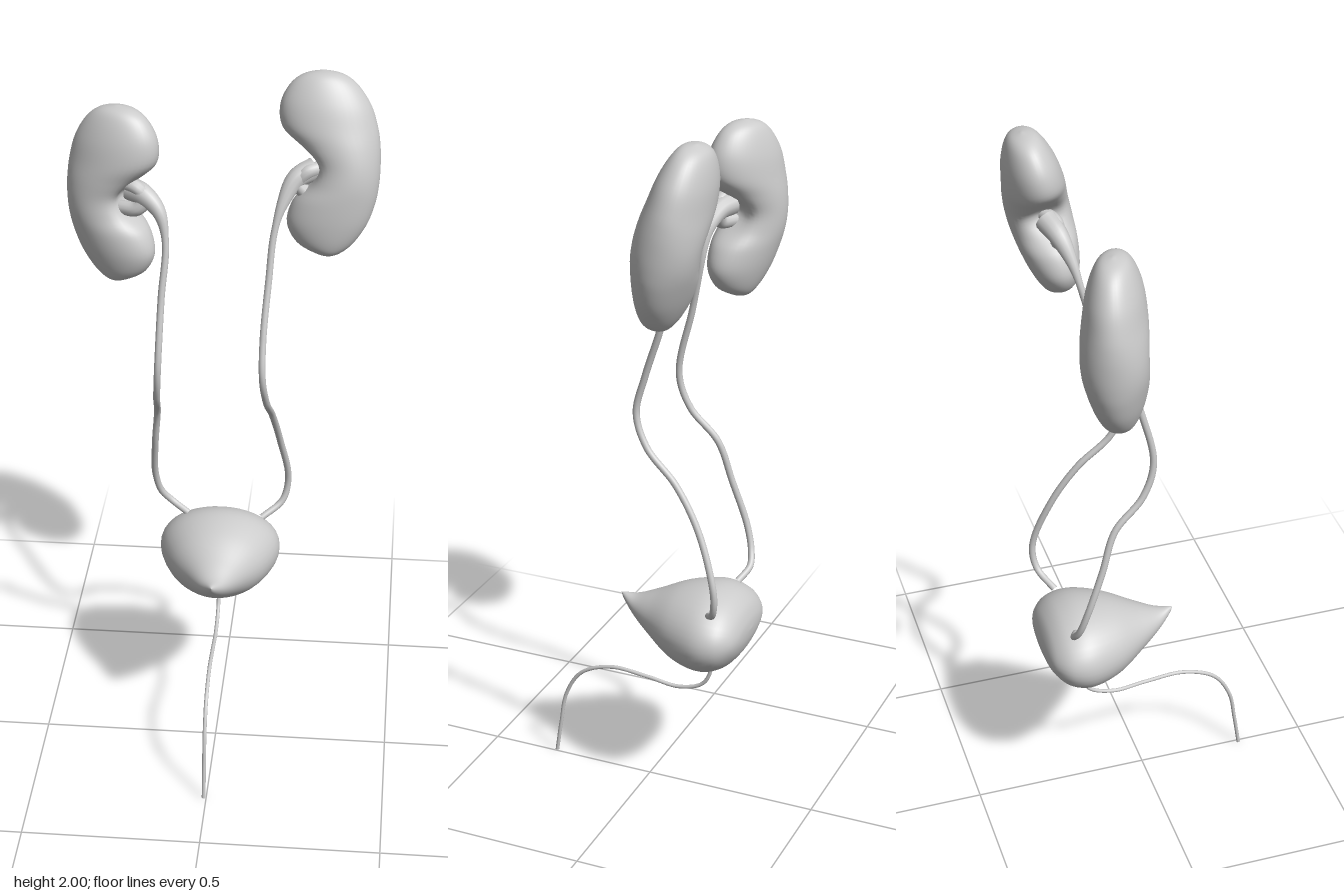
import * as THREE from 'three';
import { mergeVertices } from 'three/addons/utils/BufferGeometryUtils.js';

const material = new THREE.MeshStandardMaterial({ color: 0xcccccc, roughness: 0.6 });
const v = (x, y, z) => new THREE.Vector3(x, y, z);

// Smooth loft: rows of section values are splined, point(values, angle) places each vertex.
function loft(rows, point, rings = 60, sides = 40) {
  const columns = rows[0].map((_, k) =>
    new THREE.SplineCurve(rows.map((row, i) => new THREE.Vector2(i, row[k]))));
  const positions = [];
  const index = [];
  for (let i = 0; i <= rings; i++) {
    const values = columns.map((c) => c.getPoint(i / rings).y);
    for (let j = 0; j < sides; j++) {
      positions.push(...point(values, (j / sides) * Math.PI * 2));
      if (i === rings) continue;
      const a = i * sides + j;
      const b = i * sides + ((j + 1) % sides);
      index.push(a, b, a + sides, b, b + sides, a + sides);
    }
  }
  const geometry = new THREE.BufferGeometry();
  geometry.setAttribute('position', new THREE.Float32BufferAttribute(positions, 3));
  geometry.setIndex(index);
  const merged = mergeVertices(geometry, 1e-5);
  merged.computeVertexNormals();
  return merged;
}

// Tube whose radius follows radius(t) along the path.
function taperedTube(points, radius, segments = 160) {
  const path = new THREE.CatmullRomCurve3(points);
  const geometry = new THREE.TubeGeometry(path, segments, 1, 12);
  const { position, normal, uv } = geometry.attributes;
  for (let i = 0; i < position.count; i++) {
    const t = uv.getX(i);
    const p = v().fromBufferAttribute(normal, i).multiplyScalar(radius(t)).add(path.getPointAt(t));
    position.setXYZ(i, p.x, p.y, p.z);
  }
  return geometry;
}

// Bean shape: [y, medial x, lateral x, half thickness], top to bottom.
const kidneyRows = [
  [0.25, -0.02, -0.02, 0], [0.24, -0.07, 0.03, 0.032], [0.212, -0.108, 0.07, 0.052],
  [0.16, -0.133, 0.106, 0.07], [0.1, -0.128, 0.126, 0.08], [0.05, -0.085, 0.134, 0.085],
  [0, -0.052, 0.136, 0.086], [-0.05, -0.06, 0.134, 0.085], [-0.1, -0.095, 0.126, 0.08],
  [-0.16, -0.108, 0.105, 0.068], [-0.212, -0.08, 0.07, 0.05], [-0.24, -0.03, 0.035, 0.03],
  [-0.25, 0.005, 0.005, 0],
];

function kidneyGeometry() {
  return loft(kidneyRows, ([y, medial, lateral, depth], a) => {
    // dent on the inner side where the vessels enter
    const dent = 0.035 * Math.exp(-((y / 0.05) ** 2)) * Math.max(0, -Math.cos(a)) ** 6;
    const x = (medial + lateral) / 2 + ((lateral - medial) / 2) * Math.cos(a) + dent;
    return [x, y, depth * Math.sin(a)];
  });
}

// Bladder: [z, bottom y, top y, half width], pointed front to flattened back.
const bladderRows = [
  [0.09, 0.572, 0.572, 0], [0.078, 0.55, 0.574, 0.011], [0.04, 0.512, 0.576, 0.04],
  [-0.016, 0.47, 0.598, 0.08], [-0.1, 0.42, 0.635, 0.138], [-0.185, 0.405, 0.651, 0.172],
  [-0.245, 0.425, 0.638, 0.168], [-0.283, 0.465, 0.608, 0.137], [-0.301, 0.505, 0.572, 0.09],
  [-0.306, 0.54, 0.54, 0],
];

export function createModel() {
  const model = new THREE.Group();
  const add = (name, geometry, parent = model) => {
    const mesh = new THREE.Mesh(geometry, material);
    mesh.name = name;
    parent.add(mesh);
    return mesh;
  };

  // Kidneys: the right one is turned about, lower and angled
  const kidney = kidneyGeometry();
  const leftKidney = add('leftKidney', kidney);
  leftKidney.position.set(0.285, 1.75, -0.19);
  leftKidney.rotation.set(-0.2, 0, 0);
  const rightKidney = add('rightKidney', kidney);
  rightKidney.position.set(-0.283, 1.66, -0.155);
  rightKidney.rotation.set(-0.03, Math.PI - 0.4, -0.04);

  // Ureters, each starting as the wide funnel of the renal pelvis
  const funnel = (t) => 0.0095 + 0.022 * (1 - THREE.MathUtils.smoothstep(t, 0, 0.16));
  add('leftUreter', taperedTube([
    v(0.25, 1.74, -0.185), v(0.2, 1.715, -0.165), v(0.165, 1.65, -0.14), v(0.145, 1.57, -0.12),
    v(0.135, 1.45, -0.09), v(0.125, 1.3, -0.04), v(0.126, 1.19, -0.015), v(0.135, 1.1, -0.05),
    v(0.147, 1.01, -0.14), v(0.165, 0.89, -0.215), v(0.188, 0.73, -0.268), v(0.172, 0.66, -0.26),
    v(0.115, 0.62, -0.225),
  ], funnel));
  add('rightUreter', taperedTube([
    v(-0.24, 1.685, -0.135), v(-0.2, 1.675, -0.115), v(-0.16, 1.635, -0.1), v(-0.142, 1.55, -0.09),
    v(-0.152, 1.4, -0.06), v(-0.16, 1.2, -0.018), v(-0.167, 1.1, -0.05), v(-0.175, 1.01, -0.13),
    v(-0.187, 0.89, -0.17), v(-0.193, 0.76, -0.215), v(-0.178, 0.69, -0.235),
    v(-0.15, 0.655, -0.243), v(-0.1, 0.625, -0.225),
  ], funnel));

  // Short branches from each pelvis into its kidney
  for (const [name, x, y, z, side] of [
    ['leftCalyx', 0.2, 1.705, -0.163, 1], ['rightCalyx', -0.19, 1.665, -0.112, -1]]) {
    for (const rise of [0.04, -0.035]) {
      add(name, taperedTube([
        v(x, y, z), v(x + side * 0.03, y + rise * 0.8, z), v(x + side * 0.075, y + rise, z - 0.02),
      ], () => 0.02, 16));
    }
  }

  // Bladder
  add('bladder', loft(bladderRows, ([z, bottom, top, half], a) =>
    [-0.005 + half * Math.cos(a), (top + bottom) / 2 - ((top - bottom) / 2) * Math.sin(a), z]));

  // Urethra
  add('urethra', taperedTube([
    v(-0.007, 0.42, -0.186), v(-0.007, 0.37, -0.183), v(-0.007, 0.327, -0.157),
    v(-0.007, 0.303, -0.085), v(-0.007, 0.313, 0.01), v(-0.007, 0.319, 0.125),
    v(-0.007, 0.28, 0.22), v(-0.007, 0.2, 0.27), v(-0.007, 0.1, 0.289), v(-0.007, 0, 0.304),
  ], () => 0.0055));

  return model;
}
